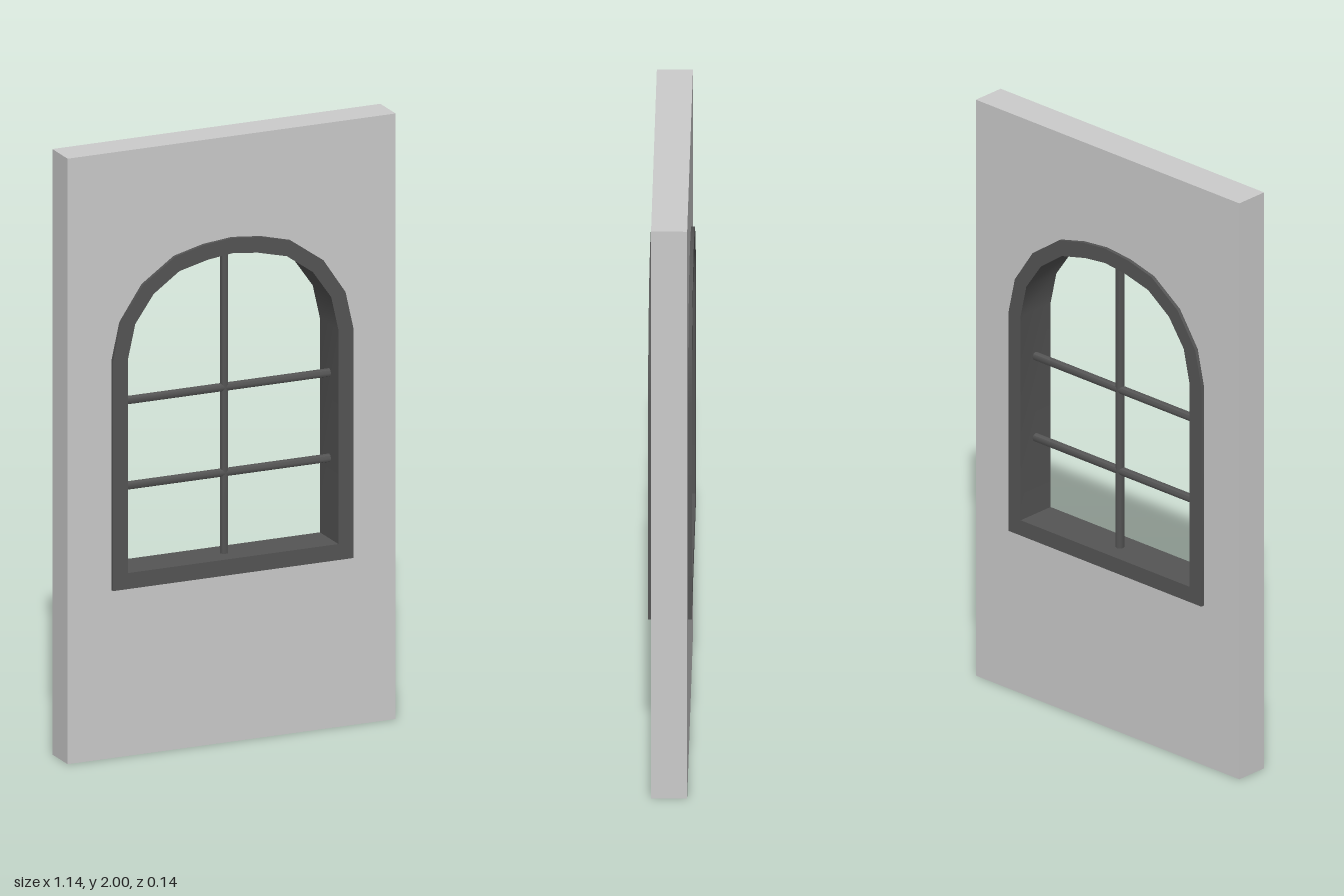
import * as THREE from 'three';
import { toCreasedNormals } from 'three/addons/utils/BufferGeometryUtils.js';

// Right half of each arch, from spring line to crown
const OUTER = [[0.418, 1.316], [0.391, 1.437], [0.314, 1.552], [0.202, 1.631], [0.1, 1.657], [0, 1.667]];
const INNER = [[0.366, 1.316], [0.341, 1.427], [0.277, 1.518], [0.187, 1.582], [0.086, 1.607], [0, 1.617]];

// Mirrored arched outline standing on a straight sill
function archPoints(half, sillY) {
  const left = half.slice(0, -1).reverse().map(([x, y]) => [-x, y]);
  const w = half[0][0];
  return [[-w, sillY], [w, sillY], ...half, ...left].map(([x, y]) => new THREE.Vector2(x, y));
}

// Extrusion centred on z = 0
function slab(outline, hole, depth) {
  const shape = new THREE.Shape(outline);
  shape.holes.push(new THREE.Path(hole));
  return new THREE.ExtrudeGeometry(shape, { depth, bevelEnabled: false }).translate(0, 0, -depth / 2);
}

export function createModel() {
  const group = new THREE.Group();
  const wallMat = new THREE.MeshStandardMaterial({ color: 0xcccccc });
  const frameMat = new THREE.MeshStandardMaterial({ color: 0x555555 });
  const add = (name, geometry, material) => {
    const mesh = new THREE.Mesh(geometry, material);
    mesh.name = name;
    group.add(mesh);
    return mesh;
  };

  const outer = archPoints(OUTER, 0.555);
  const inner = archPoints(INNER, 0.608);

  // Wall panel with arched opening
  const rect = [[-0.571, 0], [0.571, 0], [0.571, 2], [-0.571, 2]].map(([x, y]) => new THREE.Vector2(x, y));
  add('wall', slab(rect, outer, 0.114), wallMat);

  // Frame lining the opening, standing proud on both faces
  add('windowFrame', toCreasedNormals(slab(outer, inner, 0.138), 0.5), frameMat);

  // Glazing bars
  const bar = (length) => toCreasedNormals(new THREE.CylinderGeometry(0.014, 0.014, length, 8), 0.9);
  add('verticalBar', bar(1.03), frameMat).position.y = 1.115;
  for (const [name, y] of [['lowerBar', 0.874], ['upperBar', 1.156]]) {
    const mesh = add(name, bar(0.75), frameMat);
    mesh.rotation.z = Math.PI / 2;
    mesh.position.y = y;
  }
  return group;
}
